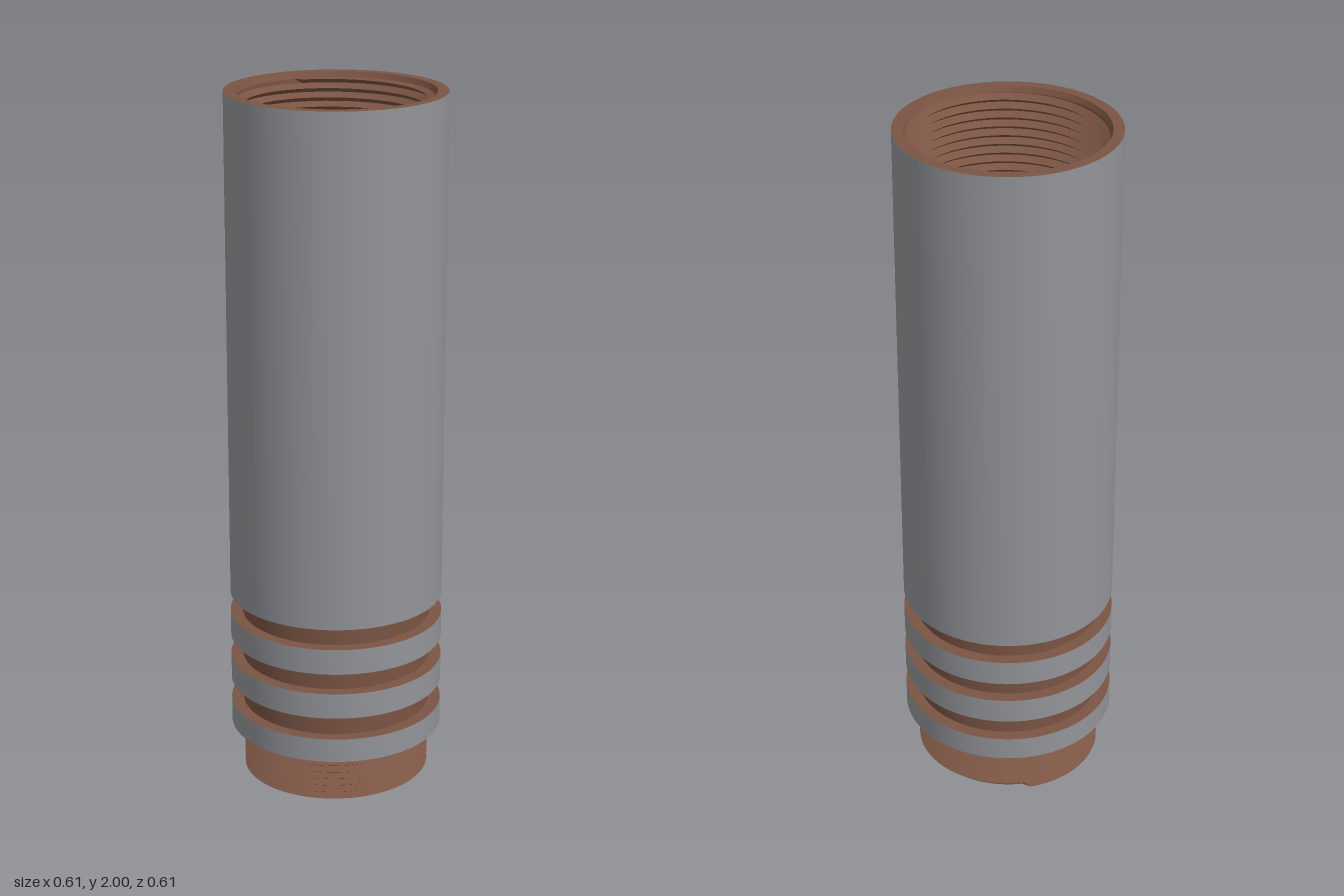
import * as THREE from 'three';
import { toCreasedNormals } from 'three/addons/utils/BufferGeometryUtils.js';

const SEGMENTS = 72;
const R = 0.305;      // outer sleeve radius
const NECK = 0.27;    // radius at the groove floors
const BORE = 0.246;   // main bore
const LIP = 0.224;    // narrow bore at the foot

const lathe = (points) => new THREE.LatheGeometry(
  points.map(([r, y]) => new THREE.Vector2(r, y)), SEGMENTS);

// Zigzag lathe sheared into a helix; verts past the ends collapse onto the root.
function threadGeometry(y0, y1, root, crest, pitch, inward) {
  const points = [];
  const turns = Math.ceil((y1 - y0) / pitch) + 1;
  for (let i = 0; i <= turns; i++) {
    points.push([root, y0 + (i - 1) * pitch], [crest, y0 + (i - 0.5) * pitch]);
  }
  if (inward) points.reverse();
  const geometry = lathe(points);
  const pos = geometry.attributes.position;
  const rows = points.length;
  for (let i = 0; i < pos.count; i++) {
    const turn = Math.floor(i / rows) / SEGMENTS;
    const y = pos.getY(i) + turn * pitch;
    if (y <= y0 || y >= y1) {
      const k = root / Math.hypot(pos.getX(i), pos.getZ(i));
      pos.setX(i, pos.getX(i) * k);
      pos.setZ(i, pos.getZ(i) * k);
    }
    pos.setY(i, THREE.MathUtils.clamp(y, y0, y1));
  }
  return geometry;
}

export function createModel() {
  const model = new THREE.Group();
  model.name = 'threadedTube';
  const grey = new THREE.MeshStandardMaterial({ color: 0x929498 });
  grey.name = 'grey coating';
  const brown = new THREE.MeshStandardMaterial({ color: 0x7a5443 });
  brown.name = 'brown metal';

  const add = (name, geometry, material) => {
    const mesh = new THREE.Mesh(toCreasedNormals(geometry, 0.5), material);
    mesh.name = name;
    model.add(mesh);
  };

  // Grey outer sleeve and the three raised bands, each with its underside
  const raised = [
    ['lowerBand', 0.145, 0.215],
    ['middleBand', 0.28, 0.355],
    ['upperBand', 0.415, 0.49],
    ['sleeve', 0.55, 2],
  ];
  raised.forEach(([name, bottom, top], i) => {
    add(name, lathe([[i ? NECK : 0.245, bottom], [R, bottom], [R, top]]), grey);
    // Bare ledge and groove wall above each band
    if (i < 3) {
      add(name + 'Groove', lathe([[R, top], [NECK, top], [NECK, raised[i + 1][1]]]), brown);
    }
  });

  // Top rim with a short chamfer into the internal thread
  add('topRim', lathe([[R, 2], [0.275, 2], [0.268, 1.985]]), brown);
  add('internalThread', threadGeometry(1.75, 1.985, 0.268, 0.25, 0.026, true), brown);

  // Bore, stepping in to a narrower lip at the foot
  add('bore', lathe([[0.268, 1.75], [BORE, 1.75], [BORE, 0.17], [LIP, 0.17], [LIP, 0]]), brown);

  // Threaded foot
  add('footRim', lathe([[LIP, 0], [0.249, 0]]), brown);
  add('footThread', threadGeometry(0, 0.145, 0.249, 0.268, 0.021, false), brown);

  return model;
}
